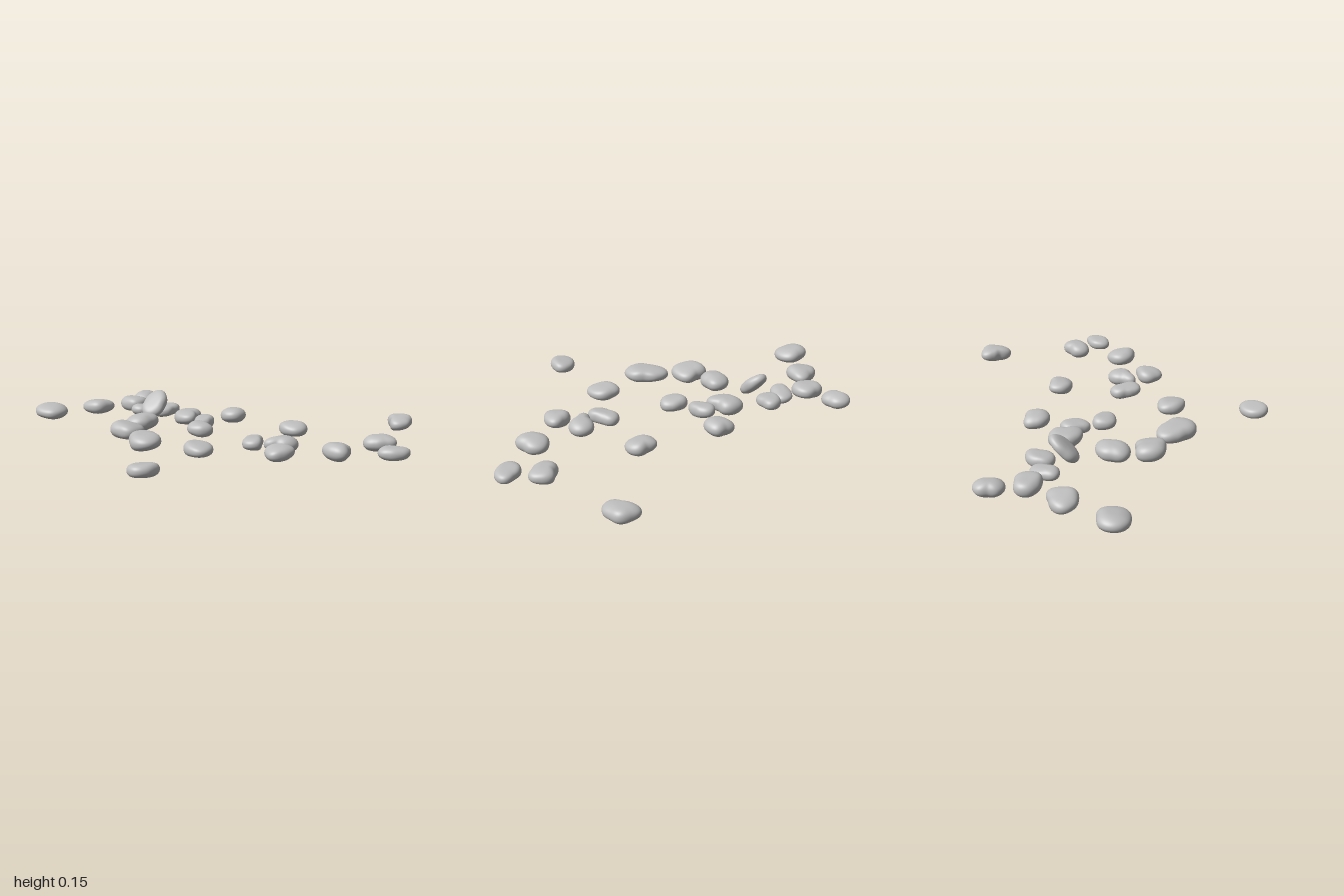
import * as THREE from 'three';
import { mergeVertices } from 'three/addons/utils/BufferGeometryUtils.js';

// Smooth closed outline: radius at an angle, from 8 radii (0 = +x, then turning towards +z)
function outlineRadius(radii, angle) {
  const n = radii.length;
  const t = ((angle / (Math.PI * 2)) * n + n) % n;
  const i = Math.floor(t), f = t - i;
  const p = (k) => radii[(i + k + n) % n];
  const a = p(-1), b = p(0), c = p(1), d = p(2);
  return b + 0.5 * f * (c - a + f * (2 * a - 5 * b + 4 * c - d + f * (3 * (b - c) + d - a)));
}

// Flattened, slightly lumpy river stone; radii in hundredths of a unit
function stoneGeometry(radii, thickness, seed, lean) {
  const base = new THREE.IcosahedronGeometry(1, 10);
  base.deleteAttribute('uv');
  base.deleteAttribute('normal');
  const geo = mergeVertices(base, 1e-4);
  const pos = geo.attributes.position;
  for (let i = 0; i < pos.count; i++) {
    const x = pos.getX(i), y = pos.getY(i), z = pos.getZ(i);
    const angle = Math.atan2(z, x);
    const r = Math.pow(Math.hypot(x, z), 0.64) * outlineRadius(radii, angle) / 100;
    const lump = 1 + 0.12 * Math.sin(2.6 * x + seed * 1.7) * Math.cos(2.2 * z + seed);
    pos.setXYZ(i, r * Math.cos(angle), Math.sign(y) * Math.pow(Math.abs(y), 0.92) * thickness / 2 * lump, r * Math.sin(angle));
  }
  geo.rotateX(lean + 0.07 * Math.sin(seed * 2.3));
  geo.rotateZ(0.07 * Math.cos(seed * 3.1));
  geo.computeVertexNormals();
  geo.computeBoundingBox();
  return geo;
}

export function createModel() {
  const group = new THREE.Group();
  group.name = 'scatteredPebbles';
  const stoneGrey = new THREE.MeshStandardMaterial({ color: 0xbebebe });
  stoneGrey.name = 'stoneGrey';

  let count = 0;
  function pebble(name, x, z, thickness, radii, lean = 0, lift = 0) {
    count++;
    const geo = stoneGeometry(radii, thickness, count, lean);
    const mesh = new THREE.Mesh(geo, stoneGrey);
    mesh.name = `${name}Pebble${count}`;
    mesh.position.set(x, lift - geo.boundingBox.min.y, z);
    group.add(mesh);
  }

  // Left-hand cluster
  pebble('farSide', -0.915, -0.013, 0.07, [8.5, 8.5, 7.5, 8, 8.4, 8, 7, 8.5]);
  pebble('cluster', -0.77, -0.225, 0.072, [7.6, 7.8, 6.8, 7.2, 8, 6.8, 6.3, 9.3]);
  pebble('cluster', -0.665, -0.545, 0.066, [5.5, 6.8, 7, 6.3, 4.9, 6.8, 7.2, 6.5]);
  pebble('cluster', -0.64, -0.38, 0.076, [7.5, 7.5, 6, 6.2, 7.3, 7.5, 6.2, 7.5]);
  pebble('cluster', -0.525, -0.315, 0.056, [5, 5.2, 6.5, 7.2, 5, 5.2, 6.8, 7.7]);
  pebble('cluster', -0.415, -0.345, 0.066, [5.5, 6.5, 7, 6.5, 5, 5.2, 6.5, 7.8]);

  // Stone propped up against its neighbour
  pebble('leaning', -0.412, -0.235, 0.062, [6, 7.3, 8.4, 7.3, 6, 7, 8.6, 7], 0.78, 0.022);

  // Middle group
  pebble('middle', -0.222, -0.24, 0.076, [5.8, 9.3, 7.8, 6.5, 6.5, 8.3, 8, 7.7]);
  pebble('middle', -0.1, -0.198, 0.064, [4.5, 5.8, 7.3, 5, 5, 6.6, 7.3, 5.5]);
  pebble('middle', -0.035, -0.385, 0.07, [6.5, 6.7, 6.3, 6, 6.3, 7.6, 5.9, 7]);
  pebble('middle', -0.045, -0.06, 0.068, [7, 6.3, 5.7, 6.2, 6.3, 6.8, 5.5, 6]);
  pebble('middle', -0.355, -0.02, 0.076, [6.5, 7.3, 8.3, 8.3, 6.2, 6.7, 7.8, 8.5]);
  pebble('middle', -0.335, 0.155, 0.08, [8.5, 8.8, 7, 7.5, 8, 8.8, 6.8, 9]);
  pebble('largest', -0.155, 0.28, 0.076, [9.5, 11, 9.3, 6.7, 8, 11.2, 9, 7]);
  pebble('middle', 0.125, 0.27, 0.066, [7.7, 8.3, 6.5, 6, 6.5, 7.9, 7, 7.5]);
  pebble('front', 0.088, 0.67, 0.064, [6.3, 6.5, 7.2, 7, 6.3, 6, 6.6, 7.5]);

  // Right-hand group
  pebble('side', 0.348, -0.29, 0.066, [7.3, 7, 6, 6.2, 7, 7.3, 5.4, 7]);
  pebble('side', 0.297, 0.043, 0.064, [4.8, 7.7, 7.5, 5.2, 4.6, 7.2, 7.8, 5]);
  pebble('bean', 0.435, 0.03, 0.07, [7.2, 5.5, 5, 8.3, 5, 5.5, 7.5, 8.3]);
  pebble('side', 0.483, 0.16, 0.068, [6.5, 6.3, 7.5, 6.3, 6.5, 6, 5.6, 7.5]);
  pebble('side', 0.707, 0.022, 0.074, [6, 8.4, 7, 6.5, 6.8, 7, 7.5, 6.8]);
  pebble('side', 0.825, -0.225, 0.07, [7.3, 5.5, 6.3, 8.3, 7.5, 5.3, 7, 7]);
  pebble('side', 0.928, -0.11, 0.06, [6.6, 5.6, 6, 7.5, 6.3, 5.5, 5.5, 7.7]);
  pebble('back', 0.76, -0.672, 0.07, [6.2, 7.8, 8.6, 4.8, 5.8, 8.3, 7, 7], 0.14);

  return group;
}
